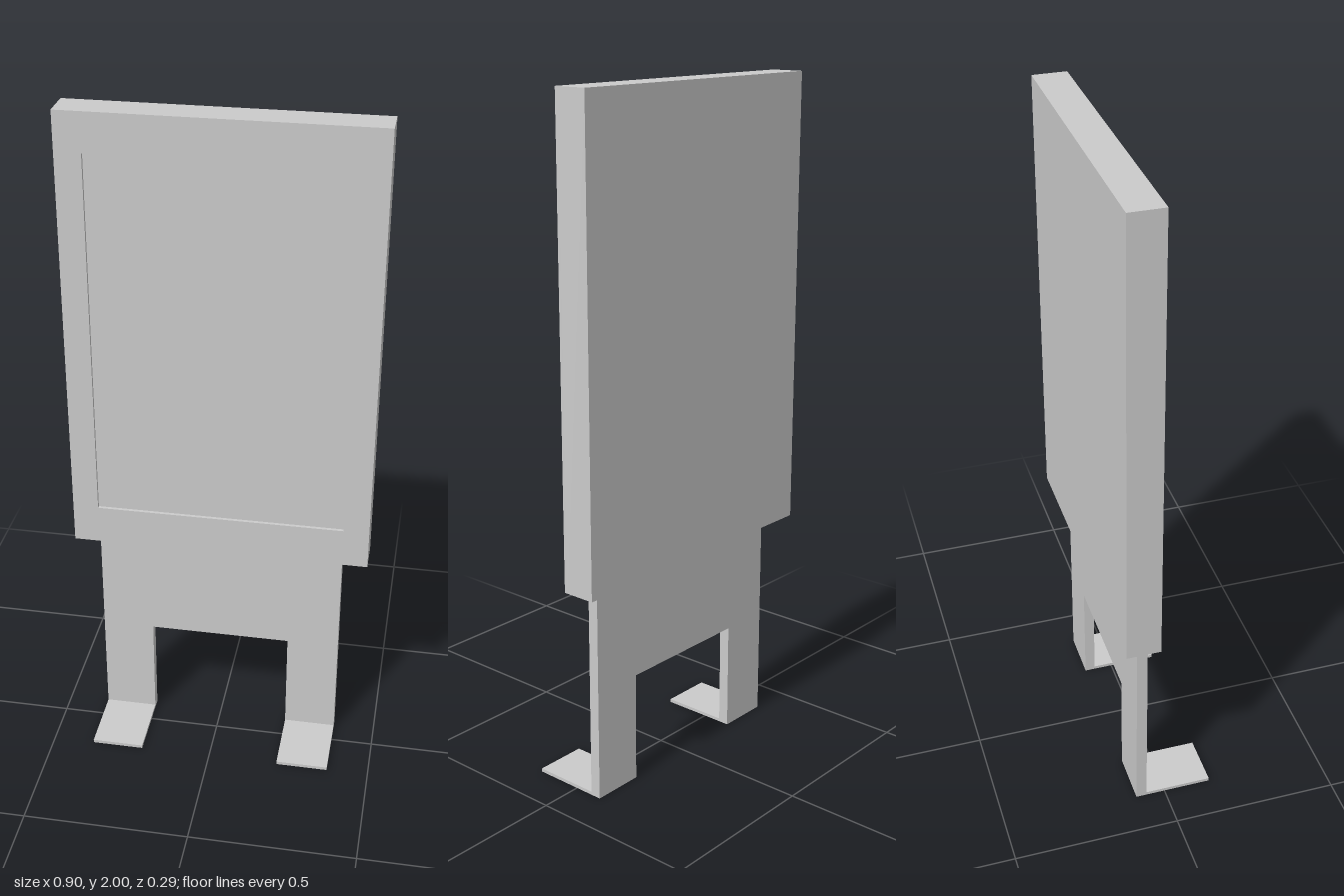
import * as THREE from 'three';

const material = new THREE.MeshStandardMaterial({ color: 0xcccccc, flatShading: true });

function rectangle(Type, x, y0, y1) {
  const r = new Type();
  r.moveTo(-x, y0);
  r.lineTo(x, y0);
  r.lineTo(x, y1);
  r.lineTo(-x, y1);
  r.closePath();
  return r;
}

export function createModel() {
  const model = new THREE.Group();
  model.name = 'displayStand';

  const add = (name, geometry, x, y, z) => {
    const mesh = new THREE.Mesh(geometry, material);
    mesh.name = name;
    mesh.position.set(x, y, z);
    model.add(mesh);
  };
  const extrude = (shape, depth) =>
    new THREE.ExtrudeGeometry(shape, { depth, bevelEnabled: false });

  const back = -0.144, front = -0.043, recess = 0.01;

  // Panel body, with a shallow frame around the recessed screen
  const body = front - recess - back;
  add('panelBody', new THREE.BoxGeometry(0.9, 1.35, body), 0, 1.325, back + body / 2);
  const frame = rectangle(THREE.Shape, 0.45, 0.65, 2);
  frame.holes.push(rectangle(THREE.Path, 0.373, 0.77, 1.885));
  add('screenFrame', extrude(frame, recess), 0, 0, front - recess);

  // Upright plate cut out into two legs
  const legs = new THREE.Shape([
    [-0.373, 0], [-0.215, 0], [-0.215, 0.33], [0.215, 0.33],
    [0.215, 0], [0.373, 0], [0.373, 0.65], [-0.373, 0.65],
  ].map(([x, y]) => new THREE.Vector2(x, y)));
  add('legPlate', extrude(legs, 0.032), 0, 0, -0.09);

  // Thin feet reaching forward from each leg
  for (const side of [-1, 1]) {
    add(side > 0 ? 'leftFoot' : 'rightFoot',
      new THREE.BoxGeometry(0.158, 0.01, 0.202), side * 0.294, 0.005, 0.043);
  }

  return model;
}
